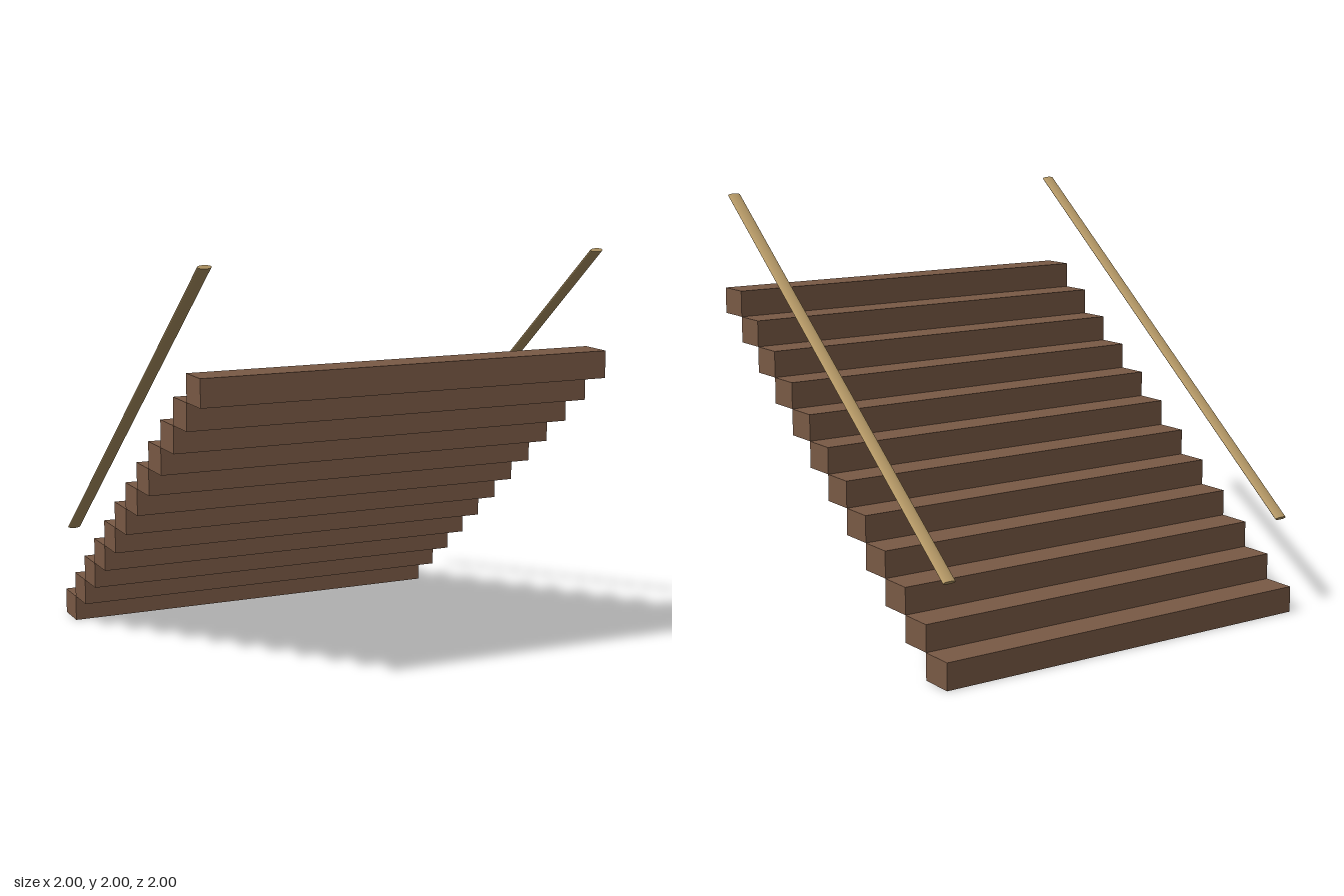
import * as THREE from 'three';

export function createModel() {
  const model = new THREE.Group();
  model.name = 'staircase';
  const brown = new THREE.MeshStandardMaterial({ color: 0x7a5a45 });
  const tan = new THREE.MeshStandardMaterial({ color: 0xb89b68 });

  // Solid block steps, rising from the back to the front
  const count = 12, rise = 1.53 / count, run = 2 / count;
  const steps = new THREE.Group();
  steps.name = 'steps';
  const stepGeometry = new THREE.BoxGeometry(2, rise, run);
  for (let i = 0; i < count; i++) {
    const step = new THREE.Mesh(stepGeometry, brown);
    step.name = `step${i + 1}`;
    step.position.set(0, (i + 0.5) * rise, -1 + (i + 0.5) * run);
    steps.add(step);
  }
  model.add(steps);

  // Flattened round handrails floating parallel to the flight
  const halfY = 0.762, halfZ = 0.961;
  const railGeometry = new THREE.CylinderGeometry(1, 1, 2 * Math.hypot(halfY, halfZ), 16);
  railGeometry.scale(0.033, 1, 0.01);
  for (const side of [1, -1]) {
    const rail = new THREE.Mesh(railGeometry, tan);
    rail.name = side > 0 ? 'leftHandrail' : 'rightHandrail';
    rail.position.set(side * 0.96, 1.23, 0);
    rail.rotation.x = Math.atan2(halfZ, halfY);
    model.add(rail);
  }
  return model;
}
